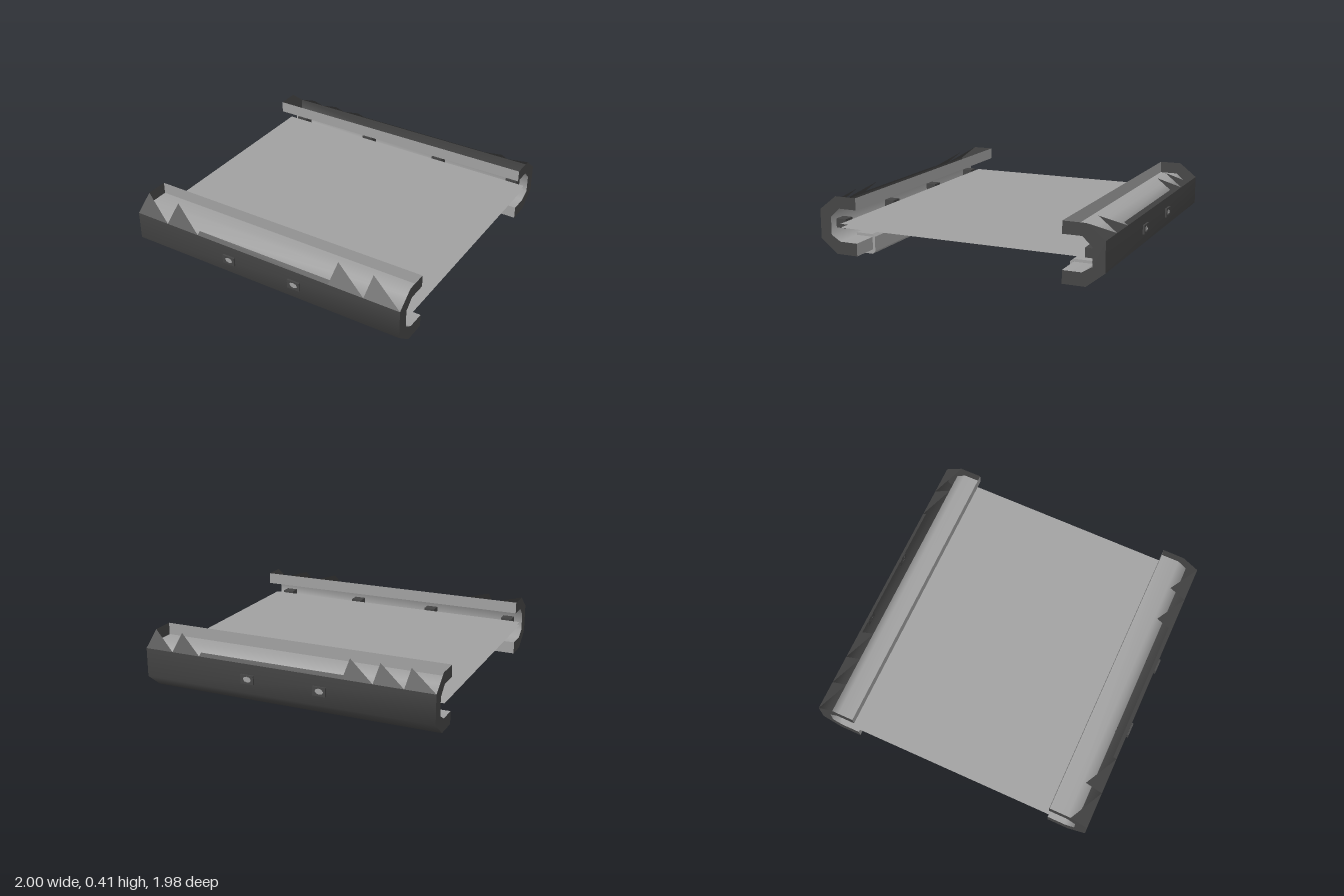
import * as THREE from 'three';

const dark = new THREE.MeshStandardMaterial({ color: 0x444444, side: THREE.DoubleSide });
dark.name = 'darkGrey';
const grey = new THREE.MeshStandardMaterial({ color: 0xa0a0a0, side: THREE.DoubleSide });
grey.name = 'lightGrey';

function add(parent, name, geometry, material, x = 0, y = 0, z = 0) {
  const mesh = new THREE.Mesh(geometry, material);
  mesh.name = name;
  mesh.position.set(x, y, z);
  parent.add(mesh);
  return mesh;
}

// Surface between two equally long rows of [x, y, z] points
function sheet(a, b) {
  const n = a.length;
  const index = [];
  for (let i = 0; i < n - 1; i++) index.push(i, n + i, i + 1, i + 1, n + i, n + i + 1);
  const g = new THREE.BufferGeometry();
  g.setAttribute('position', new THREE.Float32BufferAttribute([...a, ...b].flat(), 3));
  g.setIndex(index);
  g.computeVertexNormals();
  return g;
}

// Open [z, y] profile swept along x
function sweep(profile, half = 1) {
  const row = x => profile.map(([z, y]) => [x, y, z]);
  return sheet(row(-half), row(half));
}

function shapeOf(points) {
  return new THREE.Shape(points.map(p => new THREE.Vector2(...p)));
}

// Solid [z, y] outline extruded along x
function bar(points, length) {
  const g = new THREE.ExtrudeGeometry(shapeOf(points.map(([z, y]) => [-z, y])), { depth: length, bevelEnabled: false });
  return g.translate(0, 0, -length / 2).rotateY(Math.PI / 2);
}

const outer = [[0.98, 0.32], [0.98, 0.125], [0.86, 0.03], [0.71, 0.03]];
const inner = [[0.71, 0.335], [0.835, 0.335], [0.9, 0.275], [0.9, 0.155], [0.835, 0.115], [0.71, 0.115]];

function rail(name, leftTeeth, rightTeeth) {
  const g = new THREE.Group();
  g.name = name;
  add(g, 'outerWall', sweep(outer), dark);
  add(g, 'innerWall', sweep(inner), grey);
  add(g, 'upperLipEdge', sweep([[0.71, 0.335], [0.71, 0.415]]), grey);
  add(g, 'lowerLipEdge', sweep([[0.71, 0.03], [0.71, 0.115]]), grey);

  // Saw-toothed upper edge with a long cut-out in the middle: [x, height fraction]
  const edge = [];
  for (const [start, width, count] of [leftTeeth, rightTeeth]) {
    if (start > 0) {
      const from = edge[edge.length - 1][0];
      edge.push([from, 0.2], [start, 0.2], [start, 0]);
    }
    for (let i = 0; i < count; i++) {
      edge.push([start + i * width, 1], [start + (i + 1) * width, 0]);
    }
  }
  add(g, 'toothedEdge', sheet(
    edge.map(([x]) => [x, 0.32, 0.98]),
    edge.map(([x, t]) => [x, 0.32 + 0.095 * t, 0.98 - 0.12 * t])
  ), dark);

  // C-shaped end plates
  const section = [[0.71, 0.415], [0.86, 0.415], ...outer, ...inner.slice().reverse()];
  for (const x of [-1, 1]) {
    const cap = new THREE.ShapeGeometry(shapeOf(section.map(([z, y]) => [-z, y])));
    add(g, 'endPlate', cap.rotateY(Math.PI / 2), dark, x);
  }

  // Clip wrapped round the lower lip
  add(g, 'lowerClip', bar([
    [0.83, 0.135], [0.71, 0.135], [0.69, 0.118], [0.69, 0.02], [0.71, 0],
    [0.77, 0], [0.77, 0.029], [0.708, 0.029], [0.708, 0.117], [0.83, 0.117]
  ], 1.63), grey);

  // Framed sockets on the outside
  for (const x of [-0.25, 0.25]) {
    const frame = shapeOf([[-0.045, -0.03], [0.045, -0.03], [0.045, 0.03], [-0.045, 0.03]]);
    frame.holes.push(new THREE.Path().absellipse(0, 0, 0.03, 0.021, 0, Math.PI * 2));
    add(g, 'socketFrame', new THREE.ExtrudeGeometry(frame, { depth: 0.013, bevelEnabled: false, curveSegments: 4 }), dark, x, 0.22, 0.979);
    add(g, 'socketCentre', new THREE.BoxGeometry(0.062, 0.044, 0.006), grey, x, 0.22, 0.983);
  }

  // Small pegs holding the deck
  for (const x of [-0.9, -0.3, 0.3, 0.9]) {
    add(g, 'deckPeg', new THREE.BoxGeometry(0.08, 0.06, 0.07), dark, x, 0.22, 0.865);
  }
  return g;
}

export function createModel() {
  const model = new THREE.Group();
  model.name = 'railedDeck';

  // Deck of two thin skins, open at the edges
  for (const y of [0.21, 0.235]) {
    add(model, 'deckSkin', new THREE.PlaneGeometry(2, 1.66).rotateX(-Math.PI / 2), grey, 0, y, 0);
  }

  model.add(rail('frontRail', [-1, 0.25, 2], [0.5, 0.25, 2]));
  const back = rail('backRail', [-1, 0.2, 2], [0.4, 0.2, 3]);
  back.rotation.y = Math.PI;
  model.add(back);
  return model;
}
